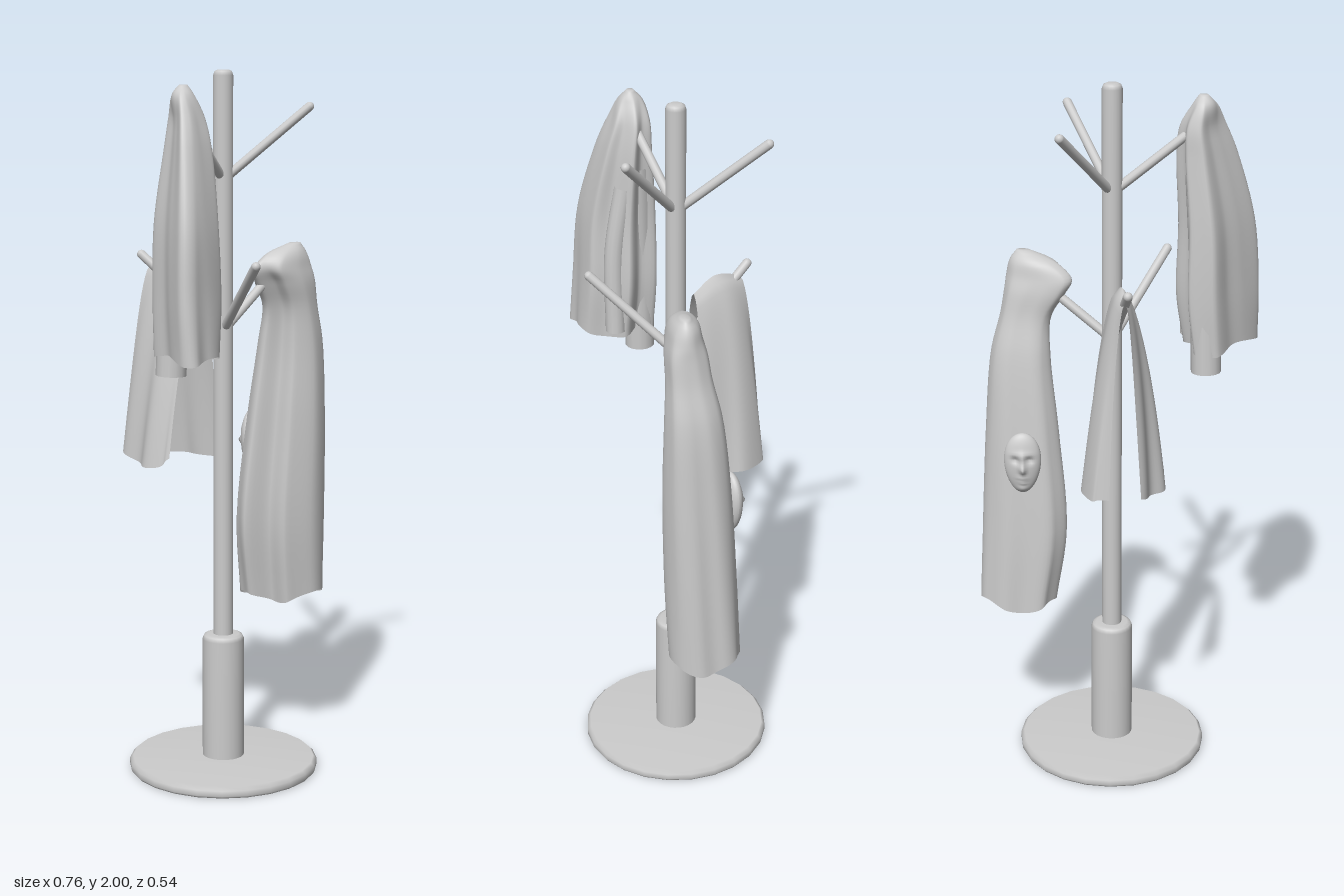
import * as THREE from 'three';

const metal = new THREE.MeshStandardMaterial({ color: 0xcccccc });
const cloth = new THREE.MeshStandardMaterial({ color: 0xcccccc, side: THREE.DoubleSide });
const V = (x, y, z) => new THREE.Vector3(x, y, z);

function add(parent, name, geometry, material = metal) {
  const mesh = new THREE.Mesh(geometry, material);
  mesh.name = name;
  parent.add(mesh);
  return mesh;
}

// Smooth surface from a grid of points; point(i, j) gives the vertex of row i, column j
function gridSurface(rows, cols, closed, point) {
  const pos = [], index = [];
  for (let i = 0; i < rows; i++)
    for (let j = 0; j < cols; j++) pos.push(...point(i, j).toArray());
  for (let i = 0; i < rows - 1; i++)
    for (let j = 0; j < (closed ? cols : cols - 1); j++) {
      const k = (j + 1) % cols;
      const a = i * cols + j, b = i * cols + k, c = a + cols, d = b + cols;
      index.push(a, c, b, b, c, d);
    }
  const g = new THREE.BufferGeometry();
  g.setAttribute('position', new THREE.Float32BufferAttribute(pos, 3));
  g.setIndex(index);
  g.computeVertexNormals();
  return g;
}

// Hanging garment: rings [y, xMin, xMax, zMin, zMax] from hem to top, and the outline of the hem,
// which turns into an oval towards the top
function garment(rings, outline, roundFrom, hem) {
  const cols = 64, rows = 40;
  const xs = outline.map(p => p[0]), zs = outline.map(p => p[1]);
  const norm = (v, a) => 2 * (v - Math.min(...a)) / (Math.max(...a) - Math.min(...a)) - 1;
  const curve = new THREE.CatmullRomCurve3(
    outline.map(p => V(norm(p[0], xs), 0, norm(p[1], zs))), true, 'catmullrom', 0.4);
  const shape = Array.from({ length: cols }, (_, j) => curve.getPoint(j / cols));
  const low = new THREE.CatmullRomCurve3(rings.map(r => V(r[1], r[0], r[3])));
  const high = new THREE.CatmullRomCurve3(rings.map(r => V(r[2], r[0], r[4])));
  return gridSurface(rows + 1, cols, true, (i, j) => {
    const t = Math.min(i, rows - 1) / (rows - 1);
    const a = low.getPoint(t), b = high.getPoint(t), s = shape[j];
    const round = THREE.MathUtils.smoothstep(t, roundFrom, 1);
    const len = Math.hypot(s.x, s.z) || 1;
    const fold = 1 + 0.04 * (1 - t) * Math.sin(j / cols * Math.PI * 14 + t * 3);
    let px = THREE.MathUtils.lerp(s.x * fold, s.x / len, round);
    let pz = THREE.MathUtils.lerp(s.z * fold, s.z / len, round);
    if (i === rows) px = pz = 0;
    const drop = hem * Math.max(0, 1 - t * 5) * Math.sin(j / cols * Math.PI * 6);
    return V((a.x + b.x + px * (b.x - a.x)) / 2, a.y + drop, (a.z + b.z + pz * (b.z - a.z)) / 2);
  });
}

// Face-shaped relief: half ellipsoid with brow, eye sockets, nose, lips and chin
function faceRelief() {
  const g = new THREE.SphereGeometry(1, 48, 40);
  const p = g.attributes.position;
  const bump = (x, y, cx, cy, w, h) => Math.exp(-(((x - cx) / w) ** 2) - ((y - cy) / h) ** 2);
  for (let i = 0; i < p.count; i++) {
    const x = p.getX(i), y = p.getY(i), z = p.getZ(i);
    let d = 0;
    if (z > 0) {
      d += 0.55 * bump(x, y, 0, -0.12, 0.16, 0.14) + 0.3 * bump(x, y, 0, 0.1, 0.12, 0.25);
      d -= 0.35 * (bump(x, y, 0.38, 0.18, 0.2, 0.1) + bump(x, y, -0.38, 0.18, 0.2, 0.1));
      d += 0.15 * bump(x, y, 0, 0.35, 0.6, 0.1);
      d += 0.22 * bump(x, y, 0, -0.43, 0.28, 0.06) + 0.22 * bump(x, y, 0, -0.57, 0.24, 0.06);
      d -= 0.15 * bump(x, y, 0, -0.5, 0.3, 0.03);
      d += 0.2 * bump(x, y, 0, -0.8, 0.3, 0.12);
    }
    p.setXYZ(i, x * 0.052 * (1 + 0.12 * y), y * 0.09, (z + d) * 0.028);
  }
  g.computeVertexNormals();
  return g;
}

export function createModel() {
  const model = new THREE.Group();
  model.name = 'coatStand';
  const stand = new THREE.Group();
  stand.name = 'stand';
  stand.position.x = -0.008;
  model.add(stand);

  const lathe = (pts, n) => new THREE.LatheGeometry(pts.map(p => new THREE.Vector2(...p)), n);
  add(stand, 'base', lathe([[0, 0], [0.268, 0], [0.272, 0.006], [0.272, 0.022], [0.262, 0.032],
    [0.06, 0.036], [0, 0.036]], 24));
  add(stand, 'sleeveCollar', lathe([[0.06, 0.03], [0.06, 0.385], [0.055, 0.396], [0.045, 0.4], [0, 0.4]], 24));
  add(stand, 'pole', lathe([[0.028, 0.39], [0.028, 1.985], [0.024, 1.996], [0.016, 2], [0, 2]], 20));

  // Arms: three high, three low, each with a rounded end
  const arms = [
    [0.073, 1.9, -0.235], [0.175, 1.9, 0.16], [-0.235, 1.895, 0.09],
    [-0.097, 1.485, 0.225], [-0.107, 1.485, -0.22], [0.245, 1.46, 0]
  ];
  for (const tip of arms) {
    const end = V(...tip), start = V(0, tip[1] > 1.6 ? 1.7 : 1.28, 0);
    const dir = end.clone().sub(start);
    const arm = add(stand, 'arm', new THREE.CapsuleGeometry(0.013, dir.length(), 4, 12));
    arm.position.copy(start).addScaledVector(dir, 0.5);
    arm.quaternion.setFromUnitVectors(V(0, 1, 0), dir.normalize());
  }

  // Short jacket on the upper arm
  const jacket = new THREE.Group();
  jacket.name = 'jacket';
  model.add(jacket);
  add(jacket, 'jacketBody', garment([
    [1.25, -0.375, -0.185, 0.03, 0.25], [1.4, -0.375, -0.165, 0.02, 0.24], [1.6, -0.36, -0.17, 0.02, 0.225],
    [1.8, -0.315, -0.165, 0.03, 0.175], [1.88, -0.29, -0.175, 0.035, 0.145], [1.935, -0.275, -0.205, 0.05, 0.12],
    [1.965, -0.25, -0.225, 0.075, 0.095]
  ], [[-0.155, 0.11], [-0.2, 0.07], [-0.22, 0.02], [-0.29, 0.02], [-0.315, 0.09], [-0.345, 0.15],
    [-0.38, 0.22], [-0.34, 0.25], [-0.28, 0.235], [-0.21, 0.22], [-0.2, 0.17]], 0.6, 0.008), cloth);
  const sleeves = [
    [[-0.235, 1.75, 0.075], [-0.255, 1.45, 0.065], [-0.263, 1.19, 0.06], 0.042],
    [[-0.2, 1.7, 0.11], [-0.2, 1.5, 0.14], [-0.195, 1.27, 0.14], 0.028]
  ];
  for (const [a, b, c, r] of sleeves)
    add(jacket, 'jacketSleeve', new THREE.TubeGeometry(
      new THREE.CatmullRomCurve3([V(...a), V(...b), V(...c)]), 16, r, 14), cloth);

  // Long hooded coat on the lower arm
  const coat = new THREE.Group();
  coat.name = 'hoodedCoat';
  model.add(coat);
  add(coat, 'coatBody', garment([
    [0.465, 0.15, 0.378, -0.13, 0.07], [0.7, 0.12, 0.372, -0.12, 0.08], [1.0, 0.145, 0.36, -0.1, 0.085],
    [1.22, 0.17, 0.345, -0.075, 0.08], [1.33, 0.17, 0.32, -0.05, 0.075], [1.4, 0.13, 0.31, -0.04, 0.075],
    [1.44, 0.11, 0.305, -0.03, 0.07], [1.48, 0.15, 0.295, -0.02, 0.06], [1.51, 0.235, 0.275, 0.01, 0.035]
  ], [[0.38, 0], [0.36, 0.07], [0.28, 0.09], [0.2, 0.06], [0.185, 0], [0.125, -0.04], [0.14, -0.1],
    [0.2, -0.12], [0.27, -0.13], [0.34, -0.115], [0.37, -0.06]].reverse(), 0.6, 0.015), cloth);
  const face = add(coat, 'faceRelief', faceRelief());
  face.position.set(0.222, 0.925, -0.112);
  face.rotation.y = Math.PI + 0.3;

  // Cloth folded over the back arm: two open panels falling from a ridge
  const ridge = new THREE.CatmullRomCurve3([V(-0.035, 1.44, -0.055), V(-0.07, 1.475, -0.12), V(-0.1, 1.46, -0.195)]);
  const leftHem = new THREE.CatmullRomCurve3([V(-0.165, 0.93, -0.045), V(-0.19, 0.9, -0.09), V(-0.18, 0.9, -0.17),
    V(-0.16, 0.92, -0.25)]);
  const rightHem = new THREE.CatmullRomCurve3([V(0.04, 0.9, -0.08), V(0.025, 0.9, -0.18), V(-0.02, 0.9, -0.255),
    V(-0.075, 0.91, -0.262)]);
  add(model, 'foldedCloth', gridSurface(41, 25, false, (i, j) => {
    const s = i / 20 - 1, v = j / 24, t = Math.abs(s);
    const top = ridge.getPoint(v), hem = (s < 0 ? leftHem : rightHem).getPoint(v);
    const out = Math.pow(t, 0.62), wave = 0.007 * t * Math.sin(v * 14 + s * 2);
    return V(THREE.MathUtils.lerp(top.x, hem.x, out) + wave,
      THREE.MathUtils.lerp(top.y, hem.y, Math.pow(t, 1.15)),
      THREE.MathUtils.lerp(top.z, hem.z, out) + wave * 0.5);
  }), cloth);

  return model;
}
